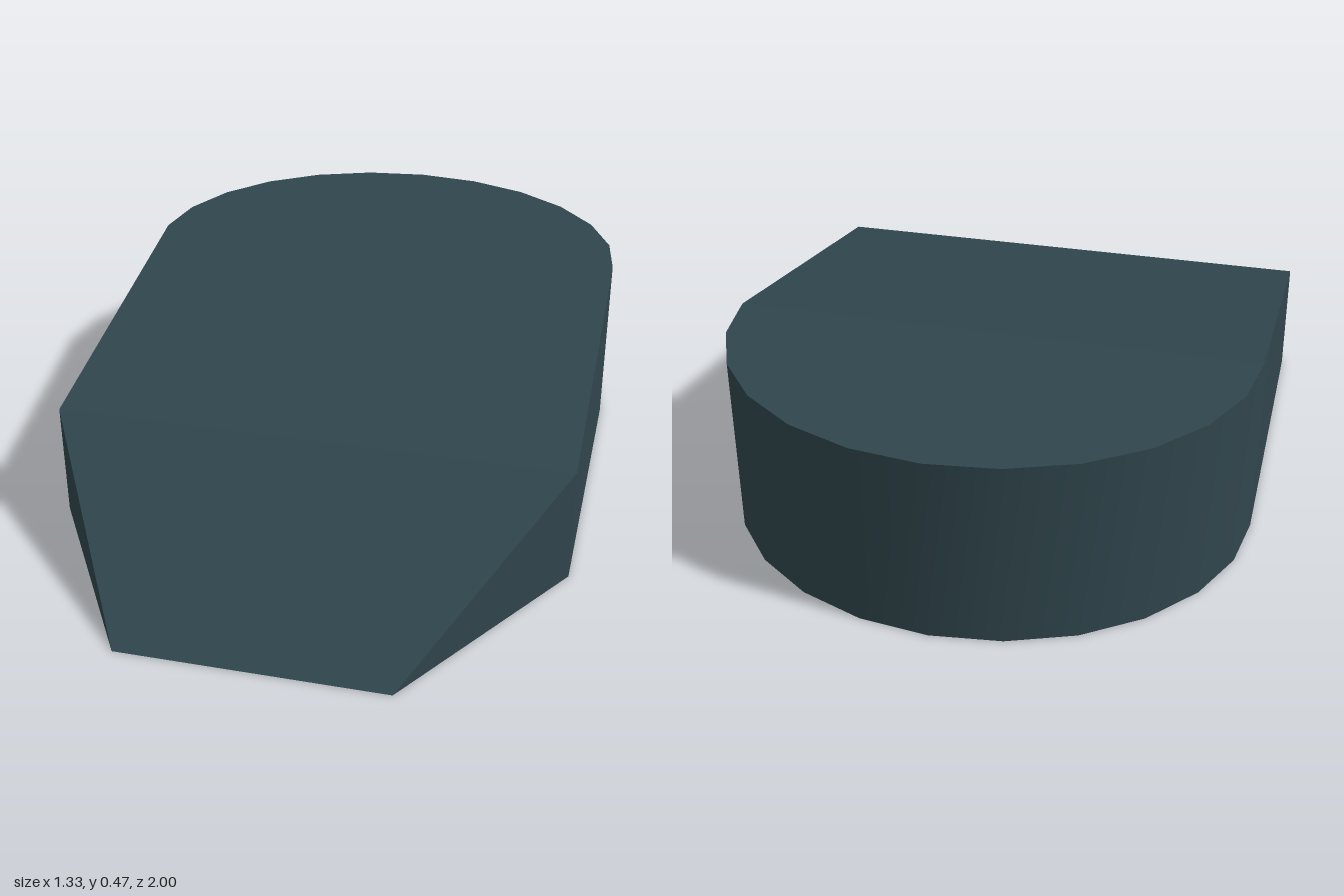
import * as THREE from 'three';
import { toCreasedNormals } from 'three/addons/utils/BufferGeometryUtils.js';

// Cross-sections from front to back: half width, top height, z
function makeSections() {
  const W = 0.665, H = 0.467, zArc = -0.4;
  const sections = [
    { w: 0.333, y: 0, z: 1 },
    { w: W, y: 0.303, z: 0.46 },
  ];
  // rounded rear end
  for (let i = 0; i <= 6; i++) {
    const a = (i / 6) * Math.PI / 2;
    sections.push({ w: i === 6 ? 0 : W * Math.cos(a), y: H, z: zArc - 0.6 * Math.sin(a) });
  }
  return sections;
}

// Turn quads (counter-clockwise corners) into a geometry, dropping empty triangles
function fromQuads(quads, crease) {
  const pos = [];
  const tri = new THREE.Triangle();
  for (const [a, b, c, d] of quads) {
    for (const t of [[a, b, c], [a, c, d]]) {
      tri.set(...t);
      if (tri.getArea() > 1e-7) t.forEach((p) => pos.push(p.x, p.y, p.z));
    }
  }
  const g = new THREE.BufferGeometry();
  g.setAttribute('position', new THREE.Float32BufferAttribute(pos, 3));
  g.computeVertexNormals();
  return crease ? toCreasedNormals(g, crease) : g;
}

export function createModel() {
  const group = new THREE.Group();
  group.name = 'wedgeBlock';
  const slate = new THREE.MeshStandardMaterial({ color: 0x30464d });
  slate.name = 'darkSlate';

  const top = [], base = [], walls = [];
  const v = (x, y, z) => new THREE.Vector3(x, y, z);
  const s = makeSections();
  for (let i = 0; i < s.length - 1; i++) {
    const f = s[i], b = s[i + 1];
    top.push([v(-f.w, f.y, f.z), v(f.w, f.y, f.z), v(b.w, b.y, b.z), v(-b.w, b.y, b.z)]);
    base.push([v(-b.w, 0, b.z), v(b.w, 0, b.z), v(f.w, 0, f.z), v(-f.w, 0, f.z)]);
    walls.push([v(f.w, 0, f.z), v(b.w, 0, b.z), v(b.w, b.y, b.z), v(f.w, f.y, f.z)]);
    walls.push([v(-f.w, f.y, f.z), v(-b.w, b.y, b.z), v(-b.w, 0, b.z), v(-f.w, 0, f.z)]);
  }

  const add = (name, geometry) => {
    const mesh = new THREE.Mesh(geometry, slate);
    mesh.name = name;
    group.add(mesh);
  };
  add('slopedTop', fromQuads(top));
  add('base', fromQuads(base));
  add('sideWalls', fromQuads(walls, 0.4));
  return group;
}
